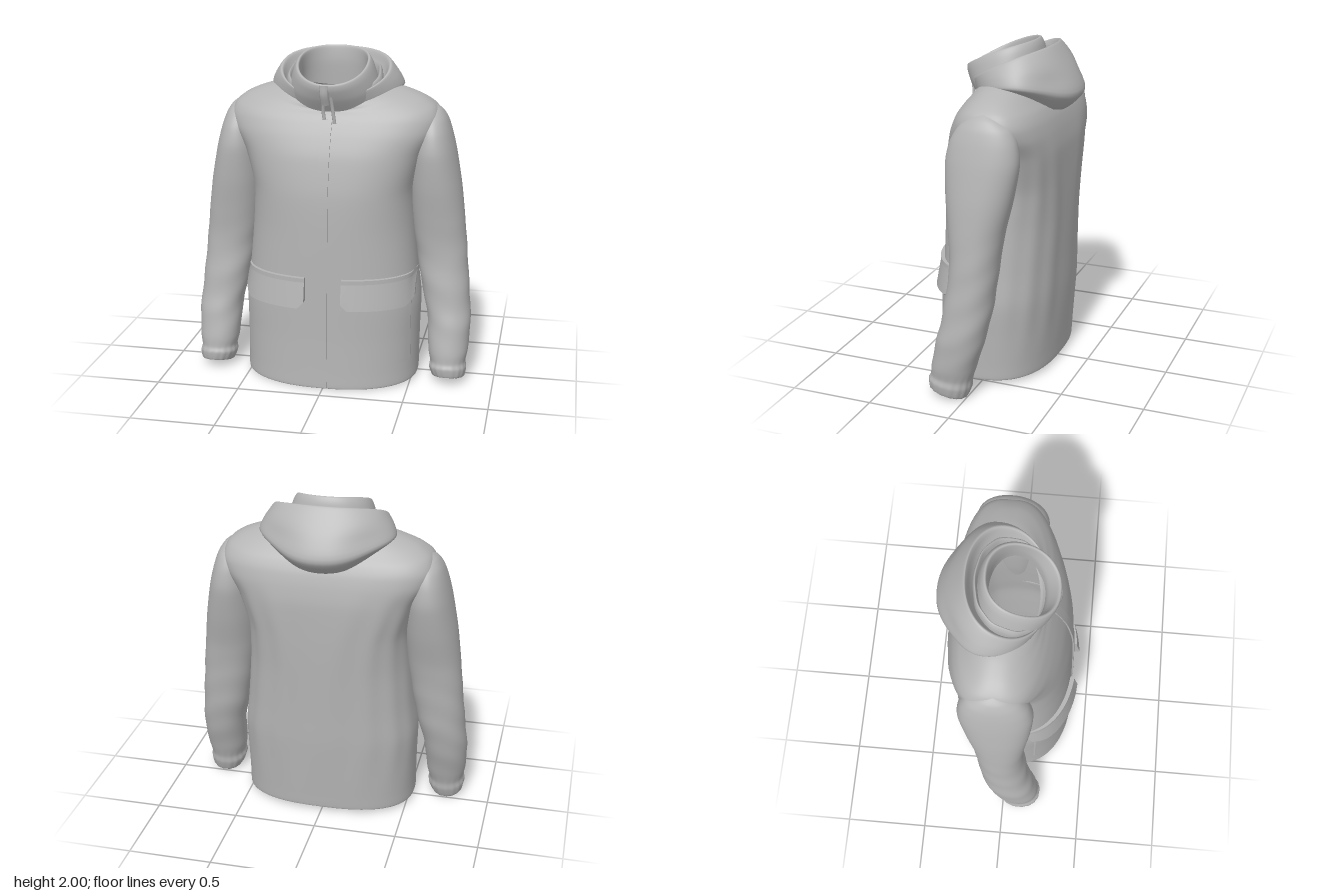
import * as THREE from 'three';

const fabric = new THREE.MeshStandardMaterial({ color: 0xb4b4b4, side: THREE.DoubleSide });
fabric.name = 'grey fabric';

const smoothstep = THREE.MathUtils.smoothstep;

// Ring rows: [halfWidth, zFront, zBack, yFront, ySide, yBack, xCentre]
function smoothRows(rows, steps) {
  const out = [];
  for (let i = 0; i < rows.length - 1; i++) {
    const a = rows[Math.max(i - 1, 0)], b = rows[i], c = rows[i + 1], d = rows[Math.min(i + 2, rows.length - 1)];
    for (let k = 0; k < steps; k++) {
      const t = k / steps, t2 = t * t, t3 = t2 * t;
      out.push(b.map((v, m) => {
        const m0 = (c[m] - a[m]) * 0.4, m1 = (d[m] - v) * 0.4;
        return (2 * t3 - 3 * t2 + 1) * v + (t3 - 2 * t2 + t) * m0 + (3 * t2 - 2 * t3) * c[m] + (t3 - t2) * m1;
      }));
    }
  }
  out.push(rows[rows.length - 1]);
  return out;
}

// Skin a stack of closed superellipse rings; power(y, isBack) sets their squareness
// and fold(angle, y) scales the radius for creases
function loft(rows, { power = () => 2.2, fold = () => 1, seg = 72 } = {}) {
  const pos = [], index = [];
  rows.forEach(([hw, zf, zb, yf, ys, yb, cx = 0], i) => {
    for (let j = 0; j < seg; j++) {
      const a = (j / seg) * Math.PI * 2, n = power(ys, Math.sin(a) < 0);
      const bend = v => Math.sign(v) * Math.abs(v) ** (2 / n);
      const c = bend(Math.cos(a)), s = bend(Math.sin(a));
      const y = ys + (yf - yb) / 2 * s + ((yf + yb) / 2 - ys) * s * s;
      const f = fold(a, y);
      pos.push(cx + hw * c * f, y, (zf + zb) / 2 + (zf - zb) / 2 * s * f);
      if (i) {
        const k = (j + 1) % seg, p = (i - 1) * seg, q = i * seg;
        index.push(p + j, q + j, p + k, q + j, q + k, p + k);
      }
    }
  });
  const g = new THREE.BufferGeometry();
  g.setAttribute('position', new THREE.Float32BufferAttribute(pos, 3));
  g.setIndex(index);
  g.computeVertexNormals();
  return g;
}

// The torso is squarer across the chest and shoulder blades
const torsoPower = (y, isBack) => (isBack ? 2.6 : 2.3)
  + (isBack ? 0.8 : 0.45) * smoothstep(y, 0.9, 1.4) * (1 - smoothstep(y, 1.62, 1.78));

const torsoRows = smoothRows([
  [0.505, 0.37, -0.30, 0.09, 0.10, 0.10],
  [0.518, 0.39, -0.315, 0.015, 0.03, 0.04],
  [0.53, 0.40, -0.325, 0.012, 0.027, 0.037],
  [0.53, 0.395, -0.33, 0.10, 0.11, 0.12],
  [0.533, 0.385, -0.34, 0.30, 0.30, 0.30],
  [0.537, 0.38, -0.35, 0.50, 0.50, 0.50],
  [0.515, 0.375, -0.355, 0.70, 0.70, 0.70],
  [0.49, 0.365, -0.365, 1.0, 1.0, 1.0],
  [0.485, 0.35, -0.368, 1.2, 1.2, 1.2],
  [0.54, 0.31, -0.365, 1.4, 1.4, 1.4],
  [0.61, 0.265, -0.348, 1.52, 1.52, 1.51],
  [0.632, 0.225, -0.325, 1.60, 1.60, 1.59],
  [0.605, 0.20, -0.295, 1.64, 1.675, 1.65],
  [0.53, 0.19, -0.265, 1.66, 1.73, 1.69],
  [0.42, 0.185, -0.235, 1.67, 1.772, 1.73],
  [0.33, 0.185, -0.20, 1.68, 1.79, 1.75],
  [0.235, 0.185, -0.165, 1.69, 1.79, 1.77],
], 5);

// Depth of the torso front at a given x and y
function frontZ(x, y) {
  let i = 11;
  while (i < torsoRows.length - 1 && torsoRows[i][3] < y) i++;
  const a = torsoRows[i - 1], b = torsoRows[i];
  const t = THREE.MathUtils.clamp((y - a[3]) / (b[3] - a[3]), 0, 1);
  const [hw, zf, zb] = a.map((v, m) => v + (b[m] - v) * t);
  const n = torsoPower(y, false);
  const r = Math.max(0, 1 - Math.min(1, Math.abs(x) / hw) ** n) ** (1 / n);
  return (zf + zb) / 2 + (zf - zb) / 2 * r;
}

// Cloth panel draped over the torso front
function drape(x0, x1, y0, y1, thick, { lift = 0, clip = 0, offset = 0 } = {}) {
  const g = new THREE.BoxGeometry(1, 1, 1, 20, Math.ceil((y1 - y0) / 0.03), 1);
  const p = g.attributes.position;
  for (let i = 0; i < p.count; i++) {
    const u = p.getX(i) + 0.5, v = p.getY(i) + 0.5, w = p.getZ(i) + 0.5;
    const x = x0 + (x1 - x0) * u;
    const corner = Math.max(0, Math.abs(u - 0.5) * 2 - 0.82) / 0.18;
    const y = y0 + (y1 - y0) * v + clip * corner * (1 - v);
    p.setXYZ(i, x, y, frontZ(x, y) + offset + (w - 0.3) * thick + lift * w * (1 - v));
  }
  g.computeVertexNormals();
  return g;
}

export function createModel() {
  const jacket = new THREE.Group();
  jacket.name = 'jacket';
  const add = (name, geometry) => {
    const m = new THREE.Mesh(geometry, fabric);
    m.name = name;
    jacket.add(m);
  };

  // Torso and shoulder yoke with soft vertical folds down the back
  add('torso', loft(torsoRows, {
    power: torsoPower, seg: 96,
    fold: (a, y) => {
      const back = Math.max(0, -Math.sin(a));
      const fade = smoothstep(y, 0.1, 0.5) * (1 - smoothstep(y, 1.2, 1.6));
      return 1 + 0.011 * back * fade * Math.sin(a * 15 + y * 1.2);
    },
  }));

  // Sleeves: [y, xInner, xOuter, zFront, zBack, tilt]
  const sleeve = [
    [0.22, 0.66, 0.79, 0.18, 0.01, 0.02],
    [0.05, 0.64, 0.81, 0.22, 0.01, 0.025],
    [0.04, 0.63, 0.825, 0.23, 0.00, 0.025],
    [0.09, 0.61, 0.835, 0.235, -0.02, 0.02],
    [0.13, 0.615, 0.828, 0.222, -0.025, 0.01],
    [0.20, 0.60, 0.84, 0.215, -0.05, 0],
    [0.35, 0.59, 0.848, 0.185, -0.095, 0],
    [0.45, 0.575, 0.842, 0.16, -0.12, 0],
    [0.60, 0.54, 0.828, 0.138, -0.145, 0],
    [0.80, 0.505, 0.81, 0.115, -0.165, 0],
    [1.00, 0.475, 0.79, 0.13, -0.19, 0],
    [1.20, 0.46, 0.765, 0.155, -0.235, 0],
    [1.40, 0.465, 0.728, 0.165, -0.268, 0],
    [1.52, 0.48, 0.698, 0.14, -0.255, 0],
    [1.60, 0.49, 0.67, 0.095, -0.22, 0],
    [1.65, 0.50, 0.638, 0.04, -0.16, 0],
    [1.68, 0.52, 0.60, -0.02, -0.10, 0],
  ];
  for (const [side, s] of [['left', 1], ['right', -1]]) {
    const rows = sleeve.map(([y, xi, xo, zf, zb, t]) =>
      [(xo - xi) / 2, zf, zb, y + t, y, y - t, s * (xi + xo) / 2]);
    add(side + 'Sleeve', loft(smoothRows(rows, 5), {
      fold: (a, y) => {
        const b = s > 0 ? a : Math.PI - a;
        const elbow = smoothstep(y, 0.15, 0.3) * (1 - smoothstep(y, 0.7, 1.1));
        const cuff = 1 - smoothstep(y, 0.08, 0.18);
        return 1 + 0.013 * elbow * Math.sin(y * 30 + 3 * Math.sin(b + 0.6)) + 0.015 * cuff * Math.sin(b * 16);
      },
    }));

    // Front pocket with a clipped flap, and its lining inside
    const span = (a, b) => (s > 0 ? [a, b] : [-b, -a]);
    add(side + 'Pocket', drape(...span(0.13, 0.5), 0.15, 0.6, 0.014));
    add(side + 'PocketFlap', drape(...span(0.11, 0.518), 0.515, 0.69, 0.03, { lift: 0.026, clip: 0.04 }));
    add(side + 'FlapSeam', drape(...span(0.11, 0.518), 0.672, 0.697, 0.038));
    add(side + 'PocketLining', drape(...span(0.14, 0.46), 0.17, 0.62, 0.006, { offset: -0.014 }));
  }

  // Front closure, outside and inside
  add('placket', drape(-0.035, 0.025, 0.015, 1.62, 0.012));
  add('placketLining', drape(-0.04, 0.04, 0.03, 1.55, 0.008, { offset: -0.012 }));

  // Stand-up collar, higher at the back and open inside
  add('collar', loft(smoothRows([
    [0.27, 0.19, -0.20, 1.66, 1.74, 1.76],
    [0.26, 0.235, -0.20, 1.73, 1.82, 1.86],
    [0.235, 0.262, -0.18, 1.79, 1.90, 1.96],
    [0.215, 0.265, -0.16, 1.825, 1.935, 1.998],
    [0.20, 0.245, -0.145, 1.825, 1.93, 1.99],
    [0.20, 0.19, -0.135, 1.75, 1.86, 1.90],
    [0.21, 0.17, -0.14, 1.67, 1.775, 1.76],
  ], 5)));

  // Inner fold between collar and hood
  add('collarFold', loft(smoothRows([
    [0.285, 0.17, -0.22, 1.68, 1.76, 1.80],
    [0.285, 0.205, -0.22, 1.73, 1.84, 1.91],
    [0.265, 0.205, -0.205, 1.75, 1.87, 1.935],
    [0.245, 0.18, -0.185, 1.70, 1.78, 1.82],
  ], 4), { fold: a => 1 + 0.008 * Math.sin(a * 11) }));

  // Hood folded down over the shoulders, pointed at the back and tucked under the collar in front
  add('hood', loft(smoothRows([
    [0.33, 0.15, -0.29, 1.66, 1.73, 1.63],
    [0.365, 0.165, -0.34, 1.67, 1.755, 1.605],
    [0.40, 0.185, -0.43, 1.69, 1.785, 1.70],
    [0.375, 0.20, -0.375, 1.72, 1.845, 1.83],
    [0.335, 0.21, -0.275, 1.745, 1.89, 1.97],
    [0.315, 0.205, -0.255, 1.745, 1.885, 1.965],
    [0.295, 0.19, -0.235, 1.72, 1.83, 1.88],
    [0.27, 0.165, -0.20, 1.69, 1.77, 1.78],
  ], 5), {
    power: (y, isBack) => (isBack ? 2.15 : 2),
    fold: (a, y) => {
      const back = Math.sin(a) < 0 ? Math.sin(2 * a) ** 2 : 0;
      return 1 - 0.09 * back * (1 - smoothstep(y, 1.78, 1.92));
    },
  }));

  // Zip tab and hanging pulls at the throat
  const strip = (name, points, radius, flat) => {
    const path = new THREE.CatmullRomCurve3(points.map(p => new THREE.Vector3(...p)));
    const g = new THREE.TubeGeometry(path, 12, radius, 8);
    g.translate(-points[0][0], 0, 0).scale(flat, 1, 1).translate(points[0][0], 0, 0);
    add(name, g);
  };
  strip('zipTab', [[-0.015, 1.825, 0.26], [-0.015, 1.77, 0.258], [-0.013, 1.71, 0.235]], 0.014, 1.9);
  strip('zipPull', [[0.025, 1.76, 0.255], [0.03, 1.69, 0.24], [0.038, 1.60, 0.232]], 0.008, 1.3);
  strip('zipCord', [[-0.02, 1.72, 0.24], [-0.024, 1.67, 0.228], [-0.02, 1.62, 0.225]], 0.008, 1.3);

  return jacket;
}
